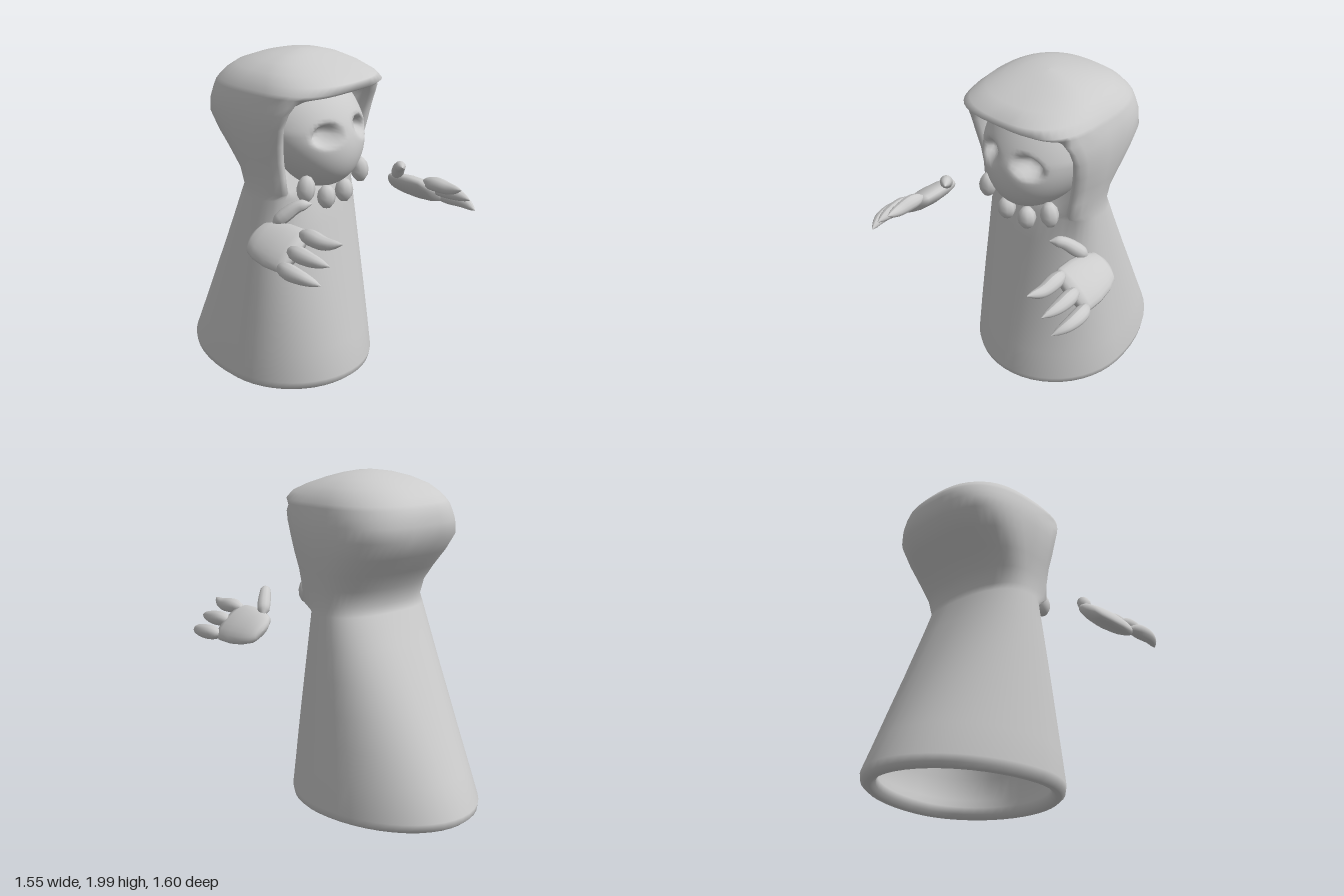
import * as THREE from 'three';

const grey = () => new THREE.MeshStandardMaterial({ color: 0xcccccc });

function mesh(name, geometry) {
  const m = new THREE.Mesh(geometry, grey());
  m.name = name;
  return m;
}

// Smooth skin over closed rings that all have the same number of points
function loft(rings) {
  const n = rings[0].length, index = [];
  for (let i = 0; i < rings.length - 1; i++) {
    for (let j = 0; j < n; j++) {
      const a = i * n + j, b = i * n + (j + 1) % n;
      index.push(a, b, b + n, a, b + n, a + n);
    }
  }
  const g = new THREE.BufferGeometry();
  g.setAttribute('position', new THREE.Float32BufferAttribute(rings.flat(2), 3));
  g.setIndex(index);
  g.computeVertexNormals();
  return g;
}

const N = 48, RIM = 8; // points per cloak ring, index of the hood's rim
const spow = (v, p) => Math.sign(v) * Math.pow(Math.abs(v), p);

// Full horizontal section of the cloak; ef and eb set how square front and back are
function fullRing(y, hw, zf, zb, zm = 0, ef = 2, eb = ef) {
  return Array.from({ length: N }, (_, j) => {
    const t = (j / N) * Math.PI * 2, front = Math.cos(t) > 0, p = 2 / (front ? ef : eb);
    return [hw * spow(Math.sin(t), p), y, zm + spow(Math.cos(t), p) * (front ? zf - zm : zm - zb)];
  });
}

// Section of the hood with an opening of half width xi, sunk by depth at the front
function hoodRing(y, hw, rimX, xi, rimZ, depth, zb, eb) {
  const ring = fullRing(y, hw, rimZ, zb, 0, 2, eb);
  const lip = [[xi - 0.02, rimZ - depth], [xi - 0.005, rimZ - depth * 0.5],
    [xi, rimZ - 0.005], [(xi + rimX) / 2, rimZ + 0.012]];
  for (let k = 0; k < 12; k++) {
    let x, z;
    if (k < 4) [x, z] = [(xi - 0.03) * k / 4, rimZ - depth];
    else if (k < RIM) [x, z] = lip[k - 4];
    else {
      const f = (k - RIM) / 4;
      x = rimX + (hw - rimX) * Math.sin(f * Math.PI / 2);
      z = rimZ * (1 - f);
    }
    ring[k] = [x, y, z];
    if (k) ring[N - k] = [-x, y, z];
  }
  return ring;
}

// Section of the straight flared skirt, f = 0 at the hem and 1 at the neck
function skirtRing(f, inset) {
  const mix = (a, b) => a + (b - a) * f;
  return fullRing(mix(0.07, 1.19), mix(0.51, 0.385) - inset, mix(0.443, 0.21) - inset,
    mix(-0.798, -0.245) + inset, mix(-0.08, -0.01), mix(2, 2.4));
}

function cloakGeometry() {
  // hood: y, half width, rim x, opening x, rim z, depth, back z, squareness
  const hood = [
    [1.24, 0.38, 0.345, 0.29, 0.185, 0.01, -0.23, 2.3],
    [1.34, 0.388, 0.355, 0.3, 0.18, 0.05, -0.265, 2.4],
    [1.44, 0.41, 0.375, 0.315, 0.18, 0.08, -0.34, 2.6],
    [1.54, 0.426, 0.395, 0.335, 0.195, 0.09, -0.42, 2.9],
    [1.64, 0.435, 0.405, 0.35, 0.215, 0.1, -0.487, 3.1],
    [1.72, 0.43, 0.4, 0.345, 0.245, 0.1, -0.49, 3],
    [1.77, 0.42, 0.385, 0.32, 0.27, 0.1, -0.487, 2.8],
  ];
  const steps = [0, 1, 2, 3, 4, 5, 6].map(i => i / 6);
  return loft([
    // hollow inside, from the crown down to the hem
    fullRing(1.93, 0.001, 0.001, -0.001),
    fullRing(1.9, 0.28, 0.15, -0.32, 0, 2.2),
    ...hood.map(([y, hw, , , rimZ, depth, zb, eb]) =>
      fullRing(y, hw - 0.03, rimZ - depth - 0.03, zb + 0.03, 0, 2.2, eb)).reverse(),
    ...steps.slice(1).reverse().map(f => skirtRing(f, 0.03)),
    // thick rolled hem
    fullRing(0.12, 0.445, 0.375, -0.72, -0.08),
    fullRing(0.07, 0.42, 0.355, -0.7, -0.08),
    fullRing(0.03, 0.43, 0.362, -0.71, -0.08),
    fullRing(0.008, 0.455, 0.387, -0.74, -0.08),
    fullRing(0.008, 0.48, 0.41, -0.77, -0.08),
    fullRing(0.03, 0.503, 0.435, -0.795, -0.08),
    // outside
    ...steps.map(f => skirtRing(f, 0)),
    ...hood.map(r => hoodRing(...r)),
    // brim and crown
    fullRing(1.812, 0.41, 0.39, -0.475, 0, 3.4, 2.7),
    fullRing(1.835, 0.402, 0.428, -0.46, 0, 3.2, 2.6),
    fullRing(1.875, 0.375, 0.425, -0.425, 0, 2.7, 2.5),
    fullRing(1.92, 0.33, 0.325, -0.36, 0, 2.4, 2.4),
    fullRing(1.96, 0.25, 0.2, -0.25, 0, 2.3),
    fullRing(1.985, 0.16, 0.11, -0.15, 0, 2.2),
    fullRing(1.997, 0.07, 0.05, -0.07),
    fullRing(2, 0.001, 0.001, -0.001),
  ]);
}

// Rounded face, narrower at the chin, with two pressed-in eye sockets
function faceGeometry() {
  const g = new THREE.SphereGeometry(1, 80, 64);
  const p = g.attributes.position;
  for (let i = 0; i < p.count; i++) {
    const v = p.getY(i);
    const y = 1.56 + v * (v > 0 ? 0.39 : 0.345);
    const x = p.getX(i) * 0.36 * (1 - 0.6 * Math.max(0, 1.6 - y));
    let z = 0.06 + p.getZ(i) * 0.365 - (y - 1.45) * 0.3;
    if (z > 0) {
      const d = ((Math.abs(x) - 0.14) / 0.068) ** 2 + ((y - 1.58 + 0.2 * (Math.abs(x) - 0.14)) / 0.05) ** 2;
      z -= 0.09 * Math.exp(-d * d);
    }
    p.setXYZ(i, x, y, z);
  }
  g.computeVertexNormals();
  return g;
}

// Tapered finger along a curve; widths are relative radii from root to tip
function finger(name, points, radius, widths) {
  const curve = new THREE.CatmullRomCurve3(points.map(q => new THREE.Vector3(...q)));
  const seg = 16, sides = 12;
  const g = new THREE.TubeGeometry(curve, seg, radius, sides);
  const p = g.attributes.position, v = new THREE.Vector3();
  for (let i = 0; i <= seg; i++) {
    const c = curve.getPointAt(i / seg), f = (i / seg) * (widths.length - 1);
    const k = Math.min(Math.floor(f), widths.length - 2);
    const w = widths[k] + (widths[k + 1] - widths[k]) * (f - k);
    for (let j = 0; j <= sides; j++) {
      const n = i * (sides + 1) + j;
      v.fromBufferAttribute(p, n).sub(c).multiplyScalar(w).add(c);
      p.setXYZ(n, v.x, v.y, v.z);
    }
  }
  g.computeVertexNormals();
  return mesh(name, g);
}

// One hand; side is +1 for left, -1 for right
function hand(side) {
  const group = new THREE.Group();
  group.name = side > 0 ? 'leftHand' : 'rightHand';
  const X = pts => pts.map(([x, y, z]) => [side * x, y, z]);
  // palm: z, half width, half thickness
  const sections = [[0.23, 0.001, 0.001], [0.235, 0.06, 0.025], [0.26, 0.1, 0.04], [0.32, 0.125, 0.05],
    [0.42, 0.142, 0.056], [0.51, 0.142, 0.05], [0.55, 0.125, 0.04], [0.565, 0.001, 0.001]];
  const palm = mesh('palm', loft(sections.map(([z, w, h]) => Array.from({ length: 20 }, (_, j) => {
    const t = (j / 20) * Math.PI * 2;
    return [w * Math.cos(t), h * Math.sin(t), z];
  }))));
  palm.position.set(side * 0.615, 1.095, 0);
  palm.rotation.z = -side * 0.64;
  group.add(palm);
  // three pointed fingers: root x, root y, outward bow, tip x, tip y
  const widths = [0.05, 0.75, 1, 1, 0.9, 0.75, 0.5, 0.04];
  [[0.545, 1.17, 0.01, 0.535, 1.19], [0.635, 1.105, 0.015, 0.635, 1.1], [0.705, 1.035, 0.025, 0.7, 1.015]]
    .forEach(([x, y, bow, tipX, tipY], i) =>
      group.add(finger('finger' + (i + 1), X([[x, y, 0.5], [x + bow, y + 0.005, 0.6],
        [x + bow, y, 0.7], [tipX, tipY, 0.8]]), 0.044, widths)));
  group.add(finger('thumb', X([[0.55, 1.16, 0.31], [0.5, 1.22, 0.36], [0.45, 1.27, 0.41], [0.4, 1.285, 0.465]]),
    0.04, [0.1, 0.9, 1, 0.95, 0.85, 0.75, 0.04]));
  return group;
}

export function createModel() {
  const model = new THREE.Group();
  model.name = 'hoodedFigure';
  model.add(mesh('cloak', cloakGeometry()), mesh('face', faceGeometry()));

  // Necklace of faceted drops under the chin
  for (const s of [-1, 1]) {
    [[0.078, 1.19, 0.285, 0.055, 0.072], [0.237, 1.275, 0.27, 0.054, 0.08]].forEach(([x, y, z, r, h], i) => {
      const bead = mesh('bead', new THREE.SphereGeometry(1, 8, 6));
      bead.scale.set(r, h, r);
      bead.position.set(s * x, y, z);
      bead.rotation.z = s * i * 0.12;
      model.add(bead);
    });
    model.add(hand(s));
  }
  return model;
}
